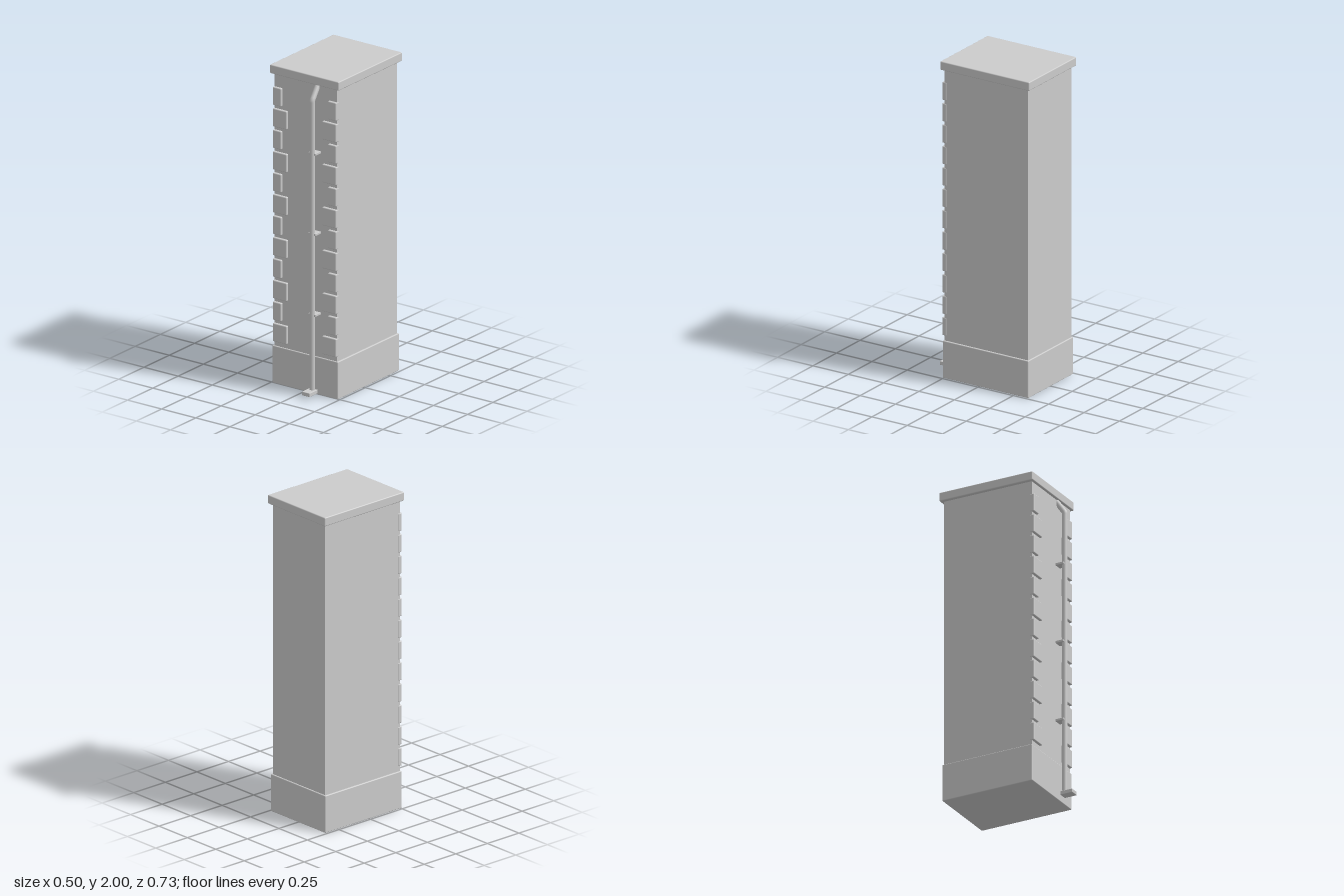
import * as THREE from 'three';
import { RoundedBoxGeometry } from 'three/addons/geometries/RoundedBoxGeometry.js';

export function createModel() {
  const model = new THREE.Group();
  model.name = 'wallTower';
  const stone = new THREE.MeshStandardMaterial({ name: 'pale grey stone', color: 0xcccccc });

  function add(name, geometry, parent = model) {
    const mesh = new THREE.Mesh(geometry, stone);
    mesh.name = name;
    parent.add(mesh);
    return mesh;
  }

  // Box given by its lower and upper corners, with slightly softened edges
  function block(name, a, b, radius = 0, parent = model) {
    const size = a.map((v, i) => b[i] - v);
    const geometry = radius
      ? new RoundedBoxGeometry(...size, 2, radius)
      : new THREE.BoxGeometry(...size);
    const mesh = add(name, geometry, parent);
    mesh.position.set(...a.map((v, i) => (v + b[i]) / 2));
    return mesh;
  }

  // Main masses
  block('wall', [-0.23, 0.2, -0.341], [0.23, 1.96, 0.25]);
  block('plinth', [-0.24, 0, -0.349], [0.24, 0.235, 0.257], 0.005);
  block('roofSlab', [-0.252, 1.945, -0.363], [0.252, 2, 0.266], 0.006);

  // Corner stones, alternately wide and narrow, on both front corners
  const quoins = new THREE.Group();
  quoins.name = 'cornerStones';
  model.add(quoins);
  for (let row = 0; row < 12; row++) {
    const y = 0.322 + row * 0.135;
    const inner = row % 2 === 0 ? 0.13 : 0.171;
    for (const side of [-1, 1]) {
      const xs = [side * inner, side * 0.232].sort((p, q) => p - q);
      block('cornerStone', [xs[0], y - 0.057, 0.235], [xs[1], y + 0.057, 0.266], 0.006, quoins);
    }
  }

  // Drainpipe: straight run with a bend back into the wall under the slab
  const downpipe = new THREE.Group();
  downpipe.name = 'drainpipe';
  model.add(downpipe);
  const x = 0.083;
  const path = new THREE.CurvePath();
  const points = [[0.03, 0.298], [1.85, 0.298], [1.868, 0.291], [1.95, 0.235]]
    .map(([y, z]) => new THREE.Vector3(x, y, z));
  path.add(new THREE.LineCurve3(points[0], points[1]));
  path.add(new THREE.QuadraticBezierCurve3(points[1], new THREE.Vector3(x, 1.861, 0.298), points[2]));
  path.add(new THREE.LineCurve3(points[2], points[3]));
  add('pipe', new THREE.TubeGeometry(path, 160, 0.017, 16, false), downpipe);

  // Wall brackets and the outlet shoe
  for (const y of [0.51, 1.018, 1.523]) {
    block('pipeBracket', [x - 0.027, y - 0.007, 0.245], [x + 0.027, y + 0.007, 0.303], 0.002, downpipe);
  }
  block('pipeShoe', [x - 0.028, 0.018, 0.282], [x + 0.028, 0.042, 0.363], 0.003, downpipe);

  return model;
}
